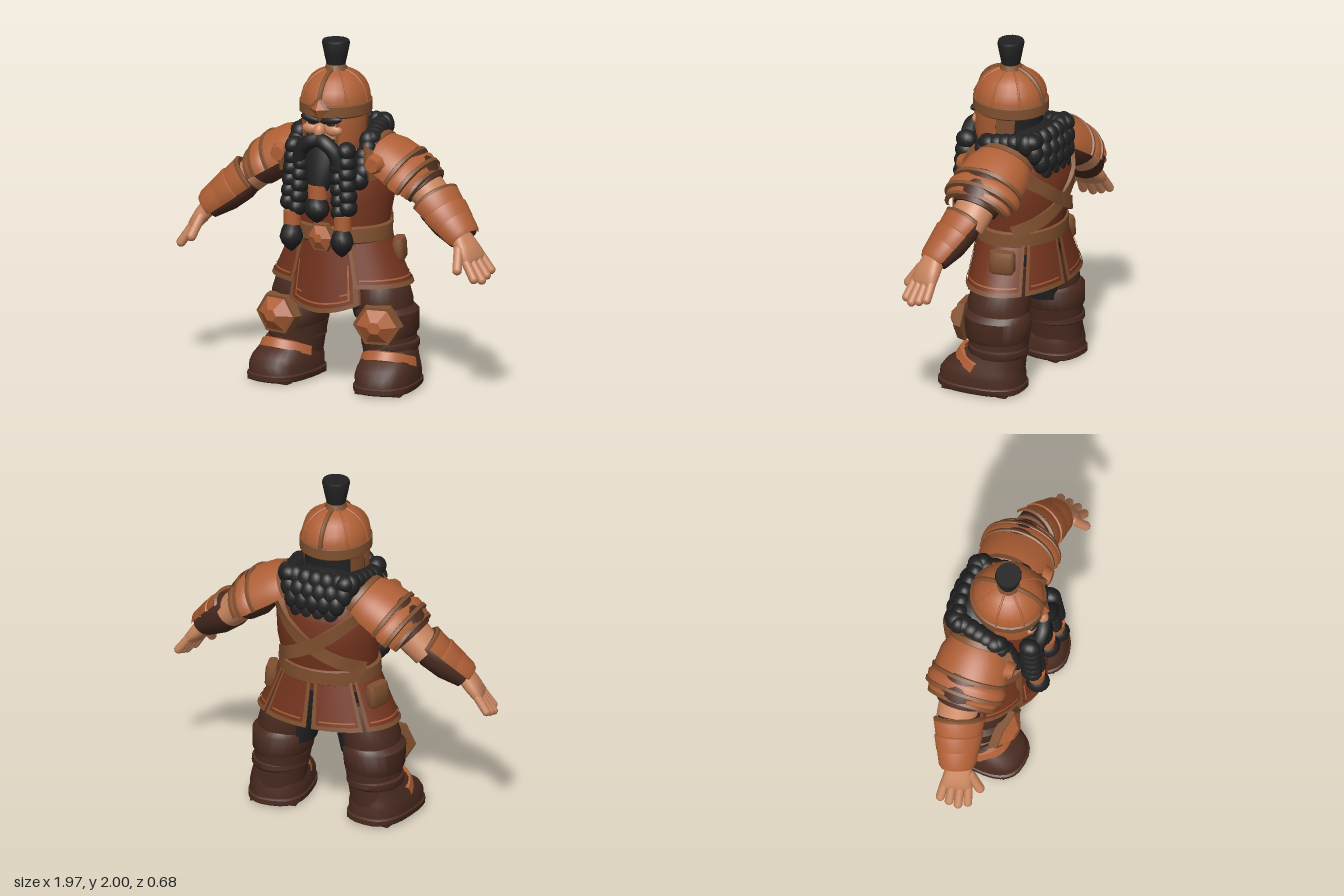
import * as THREE from 'three';
import { toCreasedNormals } from 'three/addons/utils/BufferGeometryUtils.js';

const PI = Math.PI, V = (x, y, z) => new THREE.Vector3(x, y, z);
const paint = (name, color) => Object.assign(new THREE.MeshStandardMaterial({ color, side: THREE.DoubleSide }), { name });
const copper = paint('copper', 0xb06036), trim = paint('brown trim', 0x80502f);
const leather = paint('red leather', 0x74341e), dark = paint('dark leather', 0x4a2b20);
const hair = paint('black hair', 0x212121), skin = paint('skin', 0xc98660);

function add(parent, name, geo, mat, x = 0, y = 0, z = 0) {
  const m = new THREE.Mesh(geo, mat);
  m.name = name;
  m.position.set(x, y, z);
  parent.add(m);
  return m;
}
function group(parent, name, x = 0, y = 0, z = 0) {
  const g = new THREE.Group();
  g.name = name;
  g.position.set(x, y, z);
  parent.add(g);
  return g;
}

// Grid of points p(i, j) joined into a surface
function sheet(nu, nv, p) {
  const pos = [], idx = [], n = nu + 1;
  for (let j = 0; j <= nv; j++)
    for (let i = 0; i <= nu; i++) {
      pos.push(...p(i, j));
      const a = (j - 1) * n + i, b = a + n;
      if (j && i < nu) idx.push(a, b, a + 1, a + 1, b, b + 1);
    }
  const g = new THREE.BufferGeometry();
  g.setAttribute('position', new THREE.Float32BufferAttribute(pos, 3));
  g.setIndex(idx);
  return toCreasedNormals(g, 0.75);
}

// Elliptical cross-sections [y, rx, rz, cx, cz], bottom to top; arcs stay open, full turns are capped
function loft(secs, { a0 = 0, a1 = PI * 2, seg = 28, pow = 1 } = {}) {
  const flat = ([y, , , cx, cz]) => [y, 0, 0, cx, cz];
  const rows = a1 - a0 > 6.28 ? [flat(secs[0]), ...secs, flat(secs.at(-1))] : secs;
  const bulge = (v) => Math.sign(v) * Math.abs(v) ** pow;
  return sheet(seg, rows.length - 1, (i, j) => {
    const [y, rx, rz, cx = 0, cz = 0] = rows[j], a = a0 + ((a1 - a0) * i) / seg;
    return [cx + rx * bulge(Math.cos(a)), y, cz + rz * bulge(Math.sin(a))];
  });
}

// Group at a whose y axis points to b
function frame(parent, name, a, b) {
  const g = group(parent, name, a.x, a.y, a.z);
  g.quaternion.setFromUnitVectors(V(0, 1, 0), b.clone().sub(a).normalize());
  return g;
}
function capsule(parent, name, a, b, r, mat) {
  const len = a.distanceTo(b);
  add(frame(parent, name, a, b), name, new THREE.CapsuleGeometry(r, len, 5, 10), mat, 0, len / 2);
}
function blob(parent, name, mat, x, y, z, rx, ry, rz) {
  const m = add(parent, name, new THREE.SphereGeometry(1, 16, 12), mat, x, y, z);
  m.scale.set(rx, ry, rz);
  return m;
}
const tube = (pts, r) => new THREE.TubeGeometry(new THREE.CatmullRomCurve3(pts), 16, r, 8);

// Raised strap lying over the body, facing away from its axis
function strap(parent, name, pts, width, mat) {
  const curve = new THREE.CatmullRomCurve3(pts), rim = [[-1, -0.03], [-1, 0.012], [1, 0.012], [1, -0.03]];
  add(parent, name, sheet(3, 18, (i, j) => {
    const p = curve.getPoint(j / 18), out = V(p.x, 0, p.z + 0.05).normalize();
    const side = curve.getTangent(j / 18).cross(out).normalize();
    return p.addScaledVector(side, (rim[i][0] * width) / 2).addScaledVector(out, rim[i][1]).toArray();
  }), mat);
}

// Teardrop beard end
const drop = (r, h) => new THREE.LatheGeometry(
  [[0, 0], [0.35, 0.1], [0.8, 0.3], [1, 0.52], [0.85, 0.75], [0.55, 1], [0, 1]].map(([x, y]) => new THREE.Vector2(x * r, y * h)), 14);

// Six-sided armour plate facing +z with a raised centre
function plate(parent, name, x, y, z, w, h, d) {
  const g = group(parent, name, x, y, z);
  g.scale.set(w / 2, h / 2, d);
  const hex = (r0, r1, depth) => toCreasedNormals(new THREE.CylinderGeometry(r1, r0, depth, 6).rotateX(PI / 2).rotateZ(PI / 6), 0.2);
  add(g, 'plateRim', hex(1.06, 0.98, 0.6), trim);
  add(g, 'plateBoss', hex(0.88, 0.3, 0.7), copper, 0, 0, 0.62);
  return g;
}

function buildArm(side) {
  // Sleeve and bare elbow
  const up = frame(side, 'upperArm', V(0.36, 1.33, -0.07), V(0.58, 1.12, -0.06));
  add(up, 'sleeve', loft([[-0.04, 0.08, 0.11], [0.03, 0.12, 0.14], [0.14, 0.135, 0.15], [0.23, 0.115, 0.135]]), dark);
  add(up, 'elbow', loft([[0.2, 0.105, 0.12], [0.36, 0.09, 0.11]]), skin);

  // Layered shoulder armour
  const pad = frame(side, 'shoulderArmour', V(0.18, 1.36, -0.06), V(0.54, 1.14, -0.06));
  const half = { a0: PI - 1.65, a1: PI + 1.65 };
  [[0, 0.14, 0.17, 0.24, 0.178, 0.215], [0.22, 0.165, 0.215, 0.33, 0.165, 0.225], [0.31, 0.15, 0.2, 0.385, 0.14, 0.195]].forEach(([y0, x0, z0, y1, x1, z1]) => {
    add(pad, 'shoulderPlate', loft([[y0, x0 * 0.9, z0 * 0.9], [y0 + 0.03, x0, z0], [(y0 + y1) / 2, (x0 + x1) / 2 + 0.012, (z0 + z1) / 2 + 0.012], [y1, x1, z1]], half), copper);
    add(pad, 'shoulderRim', loft([[y1 - 0.02, x1, z1], [y1 - 0.015, x1 + 0.009, z1 + 0.009], [y1 + 0.005, x1 + 0.006, z1 + 0.006], [y1 + 0.008, x1 - 0.02, z1 - 0.02]], half), trim);
  });
  add(pad, 'collarRim', loft([[0, 0.12, 0.15], [0.01, 0.145, 0.175], [0.04, 0.15, 0.18], [0.055, 0.13, 0.16]], half), trim);
  strap(side, 'chestStrap', [V(0.24, 1.42, 0.1), V(0.28, 1.33, 0.15), V(0.29, 1.24, 0.14)], 0.05, trim);
  add(side, 'shoulderDisc', new THREE.CylinderGeometry(0.042, 0.062, 0.05, 8).rotateX(PI / 2), copper, 0.3, 1.33, 0.155);

  // Forearm with overlapping guard bands
  const fore = frame(side, 'forearm', V(0.54, 1.16, -0.06), V(0.82, 0.92, 0.03)), guard = { a0: PI - 1.5, a1: PI + 1.5 };
  add(fore, 'forearmLeather', loft([[0.06, 0.09, 0.12], [0.12, 0.105, 0.13], [0.24, 0.1, 0.12], [0.36, 0.07, 0.09]]), dark);
  [[0.07, 0.108, 0.14], [0.16, 0.104, 0.132], [0.25, 0.092, 0.113]].forEach(([y, rx, rz]) =>
    add(fore, 'forearmGuard', loft([[y, rx, rz], [y + 0.01, rx + 0.012, rz + 0.012], [y + 0.1, rx, rz - 0.004], [y + 0.125, rx - 0.014, rz - 0.02]], guard), copper));
  add(fore, 'guardRim', loft([[0.055, 0.11, 0.142], [0.065, 0.124, 0.155], [0.085, 0.118, 0.15]], guard), trim);

  // Hand
  const hand = frame(side, 'hand', V(0.805, 0.93, 0.04), V(0.975, 0.71, 0.065));
  add(hand, 'palm', loft([[-0.03, 0.05, 0.065], [0.06, 0.046, 0.082], [0.13, 0.036, 0.092], [0.15, 0.02, 0.08]], { pow: 0.8 }), skin);
  [-1.5, -0.5, 0.5, 1.5].forEach((k) =>
    capsule(hand, 'finger', V(0, 0.13, k * 0.045), V(0.004, 0.262 - Math.abs(k - 0.4) * 0.02, k * 0.053), 0.026, skin));
  capsule(hand, 'thumb', V(0, 0.05, 0.07), V(0.025, 0.15, 0.135), 0.028, skin);
}

function buildLeg(side) {
  add(side, 'thigh', loft([[0.42, 0.15, 0.17, 0.27, -0.06], [0.5, 0.165, 0.185, 0.26, -0.055], [0.59, 0.16, 0.17, 0.24, -0.06], [0.72, 0.13, 0.14, 0.2, -0.06]]), dark);
  add(side, 'innerThigh', loft([[0.4, 0.08, 0.12, 0.17, -0.06], [0.66, 0.1, 0.15, 0.13, -0.05]]), hair);
  add(side, 'kneeCuff', loft([[0.3, 0.15, 0.18, 0.29, -0.06], [0.33, 0.17, 0.19, 0.285, -0.065], [0.44, 0.177, 0.2, 0.28, -0.06], [0.47, 0.15, 0.18, 0.275, -0.06]]), dark);
  add(side, 'shin', loft([[0.12, 0.145, 0.165, 0.3, -0.07], [0.22, 0.15, 0.17, 0.29, -0.07], [0.32, 0.16, 0.18, 0.28, -0.07]]), dark);
  add(side, 'bootCuff', loft([[0.22, 0.15, 0.165, 0.3, -0.075], [0.235, 0.162, 0.178, 0.295, -0.075], [0.265, 0.16, 0.175, 0.295, -0.075], [0.275, 0.14, 0.16, 0.295, -0.075]]), dark);
  plate(side, 'kneePlate', 0.315, 0.39, 0.13, 0.28, 0.25, 0.08).rotation.y = 0.18;

  // Boot, turned slightly outward
  const boot = group(side, 'boot', 0.32, 0, 0);
  boot.rotation.y = 0.14;
  add(boot, 'bootUpper', loft([[0.04, 0.168, 0.248, 0, 0.01], [0.1, 0.17, 0.246, 0, 0.01], [0.14, 0.162, 0.228, 0, 0], [0.175, 0.15, 0.195, 0, -0.025], [0.23, 0.135, 0.16, 0, -0.06]], { pow: 0.78 }), dark);
  add(boot, 'sole', loft([[0.01, 0.168, 0.248, 0, 0.01], [0.018, 0.175, 0.258, 0, 0.01], [0.045, 0.176, 0.258, 0, 0.01], [0.055, 0.165, 0.245, 0, 0.01]], { pow: 0.75 }), dark);
  for (let i = 0; i < 5; i++) add(boot, 'treadBar', new THREE.BoxGeometry(0.27, 0.016, 0.055), dark, 0, 0.008, -0.16 + i * 0.085);
  add(boot, 'ankleStrap', loft([[-0.032, 0.165, 0.22], [-0.026, 0.178, 0.232], [0.024, 0.168, 0.222], [0.032, 0.15, 0.2]], { a0: 0.3, a1: PI - 0.3 }), copper, 0, 0.14, -0.06).rotation.x = -0.36;
}

function buildSkirt(side) {
  const sec = (t, o) => [0.6 + 0.28 * t, 0.42 - 0.13 * t + o, 0.275 - 0.045 * t + o, 0, -0.06 + 0.01 * t];
  [[-0.72, 1.1], [-PI / 2 + 0.04, -0.78]].forEach(([a0, a1]) => {
    const part = (name, mat, t0, t1, o, b0, b1) => add(side, name, loft([sec(t0, o), sec(t1, o)], { a0: b0, a1: b1, seg: 12 }), mat);
    part('skirtPanel', leather, 0, 1, 0, a0, a1);
    part('skirtHem', trim, 0, 0.09, 0.008, a0, a1);
    part('skirtStitch', copper, 0.15, 0.18, 0.005, a0 + 0.1, a1 - 0.1);
    [a0, a1 - 0.06].forEach((b) => part('skirtEdge', trim, 0, 1, 0.007, b, b + 0.06));
  });
  add(side, 'pouch', loft([[-0.07, 0.03, 0.06], [-0.05, 0.042, 0.075], [0.03, 0.038, 0.075], [0.06, 0.028, 0.07]], { pow: 0.6 }), trim, 0.325, 0.79, -0.12).rotation.y = 0.3;
}

function buildHeadSide(side) {
  // Cheek and neck guards
  const cheek = (name, mat, o, y0, a0, a1) => add(side, name, loft([[y0, 0.164 + o, 0.188 + o, 0, 0.04], [1.46, 0.182 + o, 0.2 + o, 0, 0.04], [1.61, 0.188 + o, 0.206 + o, 0, 0.03]], { a0, a1, seg: 12 }), mat);
  cheek('cheekGuard', copper, 0, 1.39, -0.1, 1.04);
  cheek('cheekEdge', trim, 0.006, 1.38, 0.97, 1.06);
  cheek('neckGuard', trim, -0.002, 1.45, -0.65, -0.1);
  blob(side, 'eyebrow', hair, 0.06, 1.575, 0.213, 0.07, 0.024, 0.025).rotation.z = 0.15;
  blob(side, 'eye', hair, 0.06, 1.55, 0.21, 0.026, 0.013, 0.012);
  blob(side, 'cheek', skin, 0.07, 1.515, 0.2, 0.055, 0.034, 0.03);
  add(side, 'moustache', tube([V(0, 1.465, 0.245), V(0.05, 1.45, 0.26), V(0.1, 1.405, 0.255), V(0.13, 1.32, 0.245)], 0.043), hair);

  // Braid, ring and tip
  for (let i = 0; i < 6; i++)
    for (const s of [-1, 1])
      blob(side, 'braidLock', hair, 0.14 + i * 0.004 + s * 0.027, 1.395 - i * 0.064 + s * 0.014, 0.222 + i * 0.004, 0.05, 0.054, 0.062).rotation.z = s * 0.5;
  add(side, 'braidRing', new THREE.CylinderGeometry(0.05, 0.05, 0.08, 14), copper, 0.16, 1, 0.26);
  add(side, 'braidTip', drop(0.068, 0.17), hair, 0.16, 0.8, 0.27);

  // Fur over the chest edge and shoulders
  for (let i = 0; i < 6; i++) blob(side, 'furLock', hair, 0.215 + 0.01 * Math.sin(i * 2), 1.44 - i * 0.042, 0.05 + i * 0.02, 0.052, 0.058, 0.055);
  for (let i = 0; i < 6; i++) blob(side, 'furLock', hair, 0.225 - i * 0.01, 1.45 + 0.008 * i, 0.03 - i * 0.05, 0.055, 0.05, 0.058);
}

function buildHead(g) {
  add(g, 'face', loft([[1.36, 0.1, 0.12, 0, 0.06], [1.45, 0.14, 0.165, 0, 0.05], [1.52, 0.15, 0.166, 0, 0.05], [1.64, 0.145, 0.155, 0, 0.04]]), skin);
  add(g, 'nape', loft([[1.38, 0.16, 0.12, 0, -0.04], [1.5, 0.16, 0.14, 0, -0.01], [1.62, 0.165, 0.15, 0, -0.01]]), hair);
  blob(g, 'nose', skin, 0, 1.515, 0.235, 0.033, 0.045, 0.037).rotation.x = -0.3;

  // Helmet
  const dome = [[1.62, 0.196], [1.68, 0.195], [1.73, 0.181], [1.78, 0.147], [1.815, 0.1], [1.835, 0.05]];
  add(g, 'helmetDome', loft(dome.map(([y, r]) => [y, r, r * 1.06, 0, 0.03])), copper);
  add(g, 'helmetBand', loft([[1.585, 0.192, 0.208, 0, 0.03], [1.595, 0.204, 0.22, 0, 0.03], [1.655, 0.204, 0.22, 0, 0.03], [1.665, 0.19, 0.204, 0, 0.03]]), trim);
  for (let i = 0; i < 8; i++) {
    const a = (i * PI) / 4 + PI / 2;
    add(g, 'helmetRib', tube(dome.map(([y, r]) => V(Math.cos(a) * r, y, 0.03 + Math.sin(a) * r * 1.06)), i % 4 ? 0.006 : 0.014), i % 4 ? copper : trim);
  }
  add(g, 'browDiamondRim', new THREE.OctahedronGeometry(1), trim, 0, 1.64, 0.24).scale.set(0.066, 0.076, 0.03);
  add(g, 'browDiamond', new THREE.OctahedronGeometry(1), copper, 0, 1.64, 0.25).scale.set(0.044, 0.052, 0.03);
  add(g, 'plumeHolder', new THREE.CylinderGeometry(0.055, 0.072, 0.05, 16), trim, 0, 1.835, 0.03);
  add(g, 'plume', loft([[1.85, 0.052, 0.05], [1.91, 0.066, 0.062], [1.985, 0.081, 0.076], [2, 0.076, 0.072]].map((s) => [...s, 0, 0.03]), { seg: 14 }), hair);

  // Central beard
  add(g, 'beard', loft([[1.16, 0.05, 0.045, 0, 0.25], [1.24, 0.085, 0.07, 0, 0.225], [1.38, 0.12, 0.09, 0, 0.18], [1.46, 0.1, 0.08, 0, 0.17]]), hair);
  add(g, 'beardRing', new THREE.CylinderGeometry(0.056, 0.056, 0.08, 14), copper, 0, 1.165, 0.255);
  add(g, 'beardTip', drop(0.075, 0.16), hair, 0, 0.98, 0.265);
}

function buildBody(g) {
  add(g, 'torso', loft([[0.8, 0.28, 0.22, 0, -0.04], [0.95, 0.28, 0.235, 0, -0.05], [1.08, 0.302, 0.25, 0, -0.06], [1.25, 0.31, 0.25, 0, -0.065], [1.38, 0.26, 0.2, 0, -0.07], [1.46, 0.15, 0.13, 0, -0.05]]), leather);
  add(g, 'breeches', loft([[0.56, 0.2, 0.16, 0, -0.06], [0.64, 0.26, 0.18, 0, -0.06], [0.84, 0.25, 0.19, 0, -0.05]]), hair);
  add(g, 'belt', loft([[0.85, 0.288, 0.235, 0, -0.045], [0.86, 0.3, 0.248, 0, -0.045], [0.94, 0.297, 0.248, 0, -0.047], [0.95, 0.28, 0.235, 0, -0.047]]), trim);
  plate(g, 'buckle', 0, 0.89, 0.215, 0.17, 0.18, 0.045);

  // Curved front cloth; u runs across, v runs down
  const cloth = (name, mat, u0, u1, v0, v1, off) => add(g, name, sheet(12, 8, (i, j) => {
    const u = u0 + ((u1 - u0) * i) / 12, v = v1 + ((v0 - v1) * j) / 8;
    return [u * (0.185 + 0.035 * v), 0.84 - v * (0.385 - 0.05 * u * u), 0.212 + 0.035 * v - 0.075 * u * u + off];
  }), mat);
  cloth('clothBack', leather, -1, 1, 0, 1, -0.02);
  cloth('clothPanel', leather, -1, 1, 0, 1, 0);
  cloth('clothBorder', trim, -1, 1, 0.93, 1, 0.006);
  cloth('clothStitch', copper, -0.78, 0.78, 0.85, 0.875, 0.005);
  for (const s of [-1, 1]) {
    cloth('clothBorder', trim, s * 0.94 - 0.06, s * 0.94 + 0.06, 0, 1, 0.006);
    cloth('clothStitch', copper, s * 0.78 - 0.02, s * 0.78 + 0.02, 0.3, 0.875, 0.005);
    cloth('clothOrnament', copper, s * 0.67 - 0.1, s * 0.67 + 0.1, 0.75, 0.775, 0.005);
    strap(g, 'backStrap', [V(s * 0.27, 1.31, -0.19), V(s * 0.14, 1.2, -0.295), V(0, 1.1, -0.31), V(-s * 0.15, 1.02, -0.275), V(-s * 0.26, 0.95, -0.15)], 0.075, trim);
  }

  // Fur mantle tapering down the back
  blob(g, 'furMantle', hair, 0, 1.4, -0.13, 0.24, 0.13, 0.17);
  for (let r = 0; r < 6; r++)
    for (let i = 0; i < 7 - r; i++) {
      const x = (i - (6 - r) / 2) * 0.066;
      blob(g, 'furLock', hair, x, 1.475 - r * 0.058, -0.22 - 0.05 * Math.sin((r + 0.4) * 0.65) + x * x * 0.9, 0.053, 0.066, 0.05);
    }
}

export function createModel() {
  const model = new THREE.Group();
  model.name = 'dwarfWarrior';
  buildBody(model);
  buildHead(model);
  for (const s of [1, -1]) {
    const side = group(model, s > 0 ? 'leftSide' : 'rightSide');
    [buildArm, buildLeg, buildSkirt, buildHeadSide].forEach((build) => build(side));
    side.scale.x = s;
  }
  return model;
}
